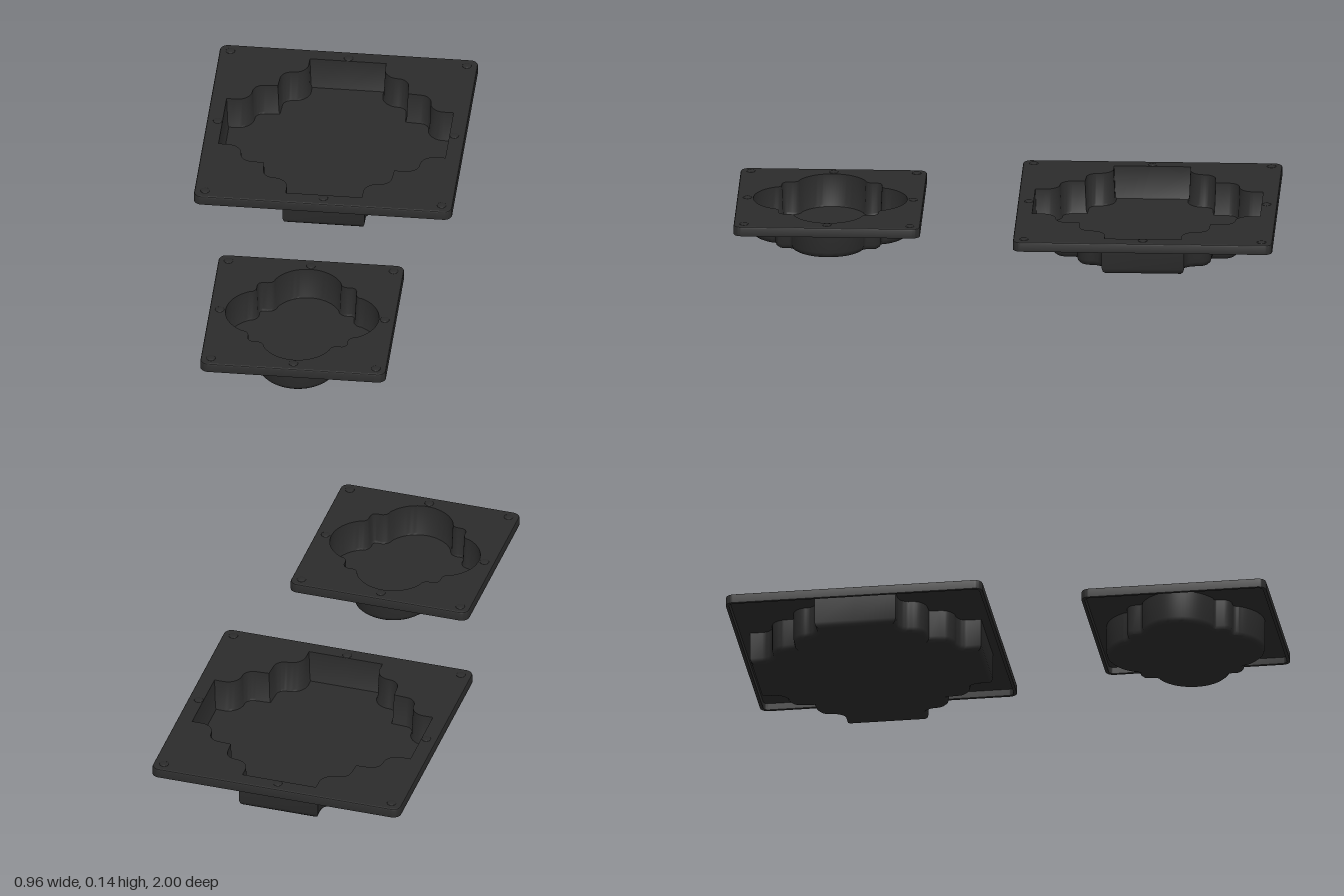
import * as THREE from 'three';
import { mergeGeometries, toCreasedNormals } from 'three/addons/utils/BufferGeometryUtils.js';

const V = (x, y) => new THREE.Vector2(x, y);

// Points on an arc, angles in degrees
function arc(cx, cy, r, from, to, steps) {
  return Array.from({ length: steps + 1 }, (_, i) => {
    const a = THREE.MathUtils.degToRad(from + (to - from) * i / steps);
    return V(cx + r * Math.cos(a), cy + r * Math.sin(a));
  });
}

// Mirror an eighth of an outline over the diagonal, then repeat it four times
function fourfold(eighth) {
  const mirrored = eighth.slice(0, -1).reverse().map(p => V(p.y, p.x));
  const quarter = [...eighth, ...mirrored].slice(0, -1);
  const out = [];
  for (let k = 0; k < 4; k++) {
    const c = [1, 0, -1, 0][k], s = [0, 1, 0, -1][k];
    quarter.forEach(p => out.push(V(p.x * c - p.y * s, p.x * s + p.y * c)));
  }
  return out;
}

// Move a counterclockwise outline outwards by d
function offset(points, d) {
  const n = points.length;
  return points.map((p, i) => {
    const a = p.clone().sub(points[(i + n - 1) % n]).normalize();
    const b = points[(i + 1) % n].clone().sub(p).normalize();
    const k = d / Math.max(0.5, 1 + a.dot(b));
    return V(p.x + (a.y + b.y) * k, p.y - (a.x + b.x) * k);
  });
}

// Sweep a profile of [offset, height] pairs around an outline
function sweep(outline, profile) {
  const n = outline.length, pos = [], index = [];
  profile.forEach(([d, h]) => offset(outline, d).forEach(p => pos.push(p.x, p.y, h)));
  for (let i = 0; i < profile.length - 1; i++) {
    for (let j = 0; j < n; j++) {
      const a = i * n + j, b = i * n + (j + 1) % n;
      index.push(a, b, b + n, a, b + n, a + n);
    }
  }
  const g = new THREE.BufferGeometry();
  g.setAttribute('position', new THREE.Float32BufferAttribute(pos, 3));
  g.setIndex(index);
  return toCreasedNormals(g, 0.6);
}

// Flat face at a height, optionally with a hole, facing up or down
function face(outline, height, hole, down) {
  const shape = new THREE.Shape(outline);
  if (hole) shape.holes.push(new THREE.Path(hole));
  const g = new THREE.ShapeGeometry(shape);
  if (down) g.rotateX(Math.PI);
  g.translate(0, 0, height);
  const flat = g.toNonIndexed();
  flat.deleteAttribute('uv');
  return flat;
}

const TOP = 0.136;

function tray(name, half, cavity, pinOffset, material) {
  const group = new THREE.Group();
  group.name = name;
  const add = (partName, parts) => {
    const mesh = new THREE.Mesh(mergeGeometries(parts).rotateX(-Math.PI / 2), material);
    mesh.name = partName;
    group.add(mesh);
  };

  // Square flange with a downturned lip, open underneath
  const r = 0.03;
  const square = fourfold([V(half, 0), ...arc(half - r, half - r, r, 0, 45, 4)]);
  add('flange', [
    sweep(square, [[-0.012, 0.125], [-0.012, 0.1], [0, 0.1], [0, 0.13], [-0.002, 0.134], [-0.006, TOP]]),
    face(offset(square, -0.006), TOP, cavity),
    face(offset(square, -0.012), 0.125, cavity, true),
  ]);

  // Scalloped basin: rounded outside, slightly tapered inside
  add('basin', [
    sweep(cavity, [[-0.012, 0], [-0.002, 0.002], [0.006, 0.009], [0.01, 0.022], [0.01, 0.126]]),
    sweep(cavity, [[0, TOP], [-0.005, 0.02], [-0.009, 0.012]]),
    face(offset(cavity, -0.012), 0, null, true),
    face(offset(cavity, -0.009), 0.012),
  ]);

  // Low round studs at the corners and edge middles
  for (const x of [-1, 0, 1]) {
    for (const z of [-1, 0, 1]) {
      if (!x && !z) continue;
      const stud = new THREE.Mesh(new THREE.SphereGeometry(0.017, 16, 6, 0, Math.PI * 2, 0, Math.PI / 2), material);
      stud.name = 'stud';
      stud.scale.y = 0.25;
      stud.position.set(x * pinOffset, TOP, z * pinOffset);
      group.add(stud);
    }
  }
  return group;
}

export function createModel() {
  const model = new THREE.Group();
  model.name = 'trayPair';
  const charcoal = new THREE.MeshStandardMaterial({ color: 0x2b2b2b });
  charcoal.name = 'charcoal';

  // Large basin: straight sides joined by S-curved notched corners
  const largeCavity = fourfold([
    V(0.422, 0), V(0.422, 0.142),
    ...arc(0.385, 0.195, 0.053, 270, 180, 8),
    ...arc(0.29, 0.197, 0.042, 0, 90, 8),
    V(0.242, 0.242),
  ]);
  const large = tray('largeTray', 0.48, largeCavity, 0.44, charcoal);
  large.position.z = -0.52;

  // Small basin: four round lobes with small corners between them
  const smallCavity = fourfold([
    ...arc(0.148, 0, 0.137, 0, 62, 12),
    ...arc(0.211, 0.148, 0.026, 270, 180, 5),
    V(0.185, 0.168), V(0.179, 0.179),
  ]);
  const small = tray('smallTray', 0.345, smallCavity, 0.307, charcoal);
  small.position.z = 0.655;

  model.add(large, small);
  return model;
}
